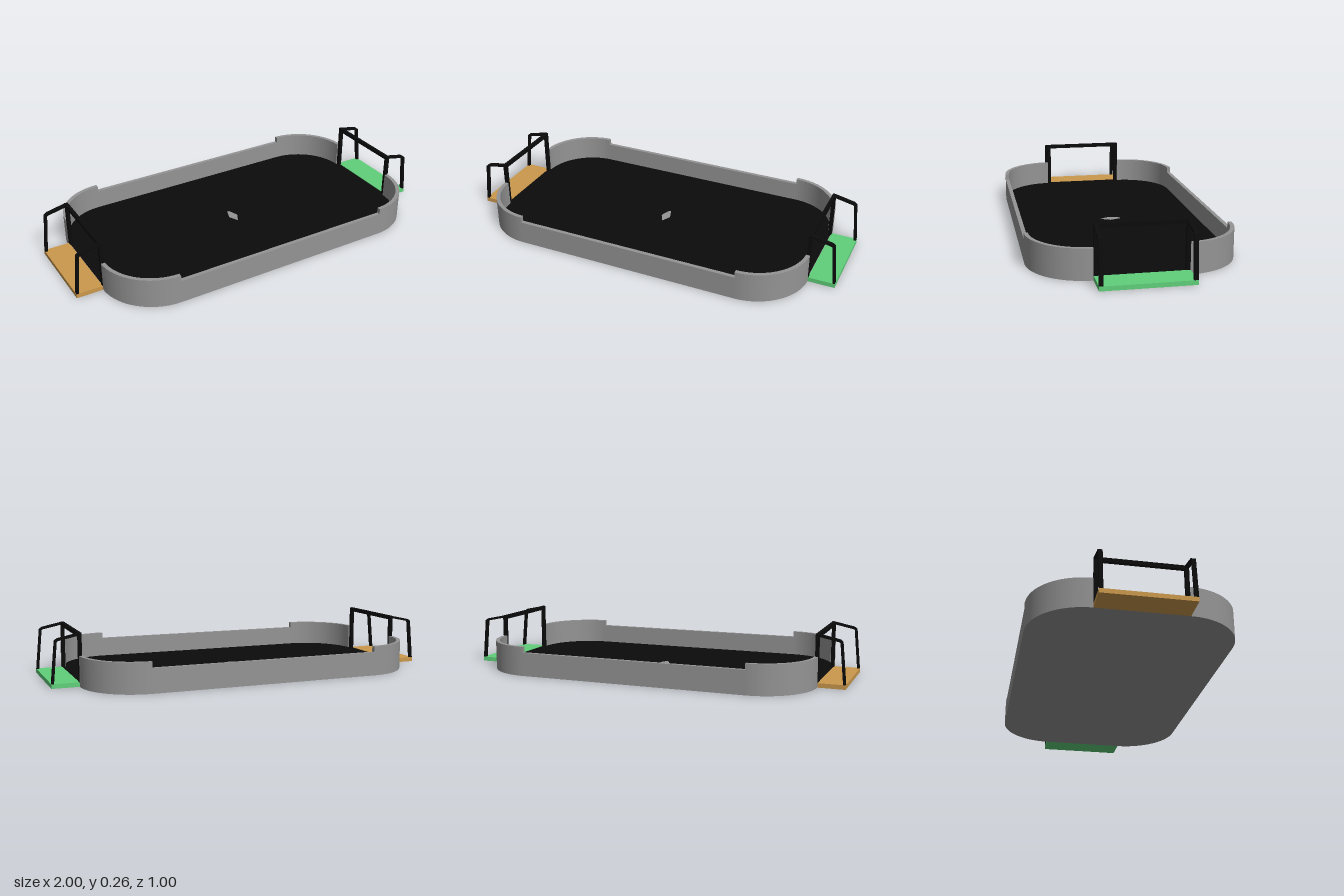
import * as THREE from 'three';

const HX = 0.865, HZ = 0.5, R = 0.28, WALL = 0.02;

const mat = (name, color) => {
  const m = new THREE.MeshStandardMaterial({ color });
  m.name = name;
  return m;
};

export function createModel() {
  const grey = mat('wall grey', 0x949494);
  const black = mat('pitch black', 0x0b0b0b);
  const green = mat('goal green', 0x60d07a);
  const orange = mat('goal orange', 0xcb994c);

  const model = new THREE.Group();
  model.name = 'arena';

  const add = (parent, name, geometry, material) => {
    const mesh = new THREE.Mesh(geometry, material);
    mesh.name = name;
    parent.add(mesh);
    return mesh;
  };
  const box = (parent, name, x0, x1, y0, y1, z0, z1, material) => {
    const g = new THREE.BoxGeometry(x1 - x0, y1 - y0, z1 - z0);
    g.translate((x0 + x1) / 2, (y0 + y1) / 2, (z0 + z1) / 2);
    return add(parent, name, g, material);
  };
  // Extrudes a plan outline upwards from y0 to y1
  const slab = (shape, y0, y1) => new THREE.ExtrudeGeometry(shape,
    { depth: y1 - y0, bevelEnabled: false, curveSegments: 14 })
    .rotateX(-Math.PI / 2).translate(0, y0, 0);

  // Rounded plan outline, moved inwards by an inset
  const outline = (inset) => {
    const s = new THREE.Shape(), r = R - inset, cx = HX - R, cz = HZ - R;
    s.absarc(cx, cz, r, 0, Math.PI / 2);
    s.absarc(-cx, cz, r, Math.PI / 2, Math.PI);
    s.absarc(-cx, -cz, r, Math.PI, Math.PI * 1.5);
    s.absarc(cx, -cz, r, Math.PI * 1.5, Math.PI * 2);
    s.closePath();
    return s;
  };
  add(model, 'base', slab(outline(0), 0, 0.018), grey);
  add(model, 'pitch', slab(outline(0.003), 0.018, 0.021), black);

  // Small diamond mark at the centre of the pitch
  const diamond = new THREE.Shape([[0, -0.035], [0.025, 0.015], [0.006, 0.07],
    [-0.006, 0.07], [-0.025, 0.015]].map(([x, y]) => new THREE.Vector2(x, y)));
  add(model, 'centreMark', slab(diamond, 0.021, 0.023), grey);

  // Low side walls and tall curved corner walls
  for (const sz of [-1, 1]) {
    const zs = [sz * HZ, sz * (HZ - WALL)].sort((a, b) => a - b);
    box(model, 'sideWall', -(HX - R), HX - R, 0, 0.12, zs[0], zs[1], grey);
  }
  for (let i = 0; i < 4; i++) {
    const a = i * Math.PI / 2, b = a + Math.PI / 2;
    const sx = i === 0 || i === 3 ? 1 : -1, sy = i < 2 ? 1 : -1;
    const cx = sx * (HX - R), cy = sy * (HZ - R);
    const s = new THREE.Shape();
    s.absarc(cx, cy, R, a, b, false);
    s.absarc(cx, cy, R - WALL, b, a, true);
    s.closePath();
    add(model, 'cornerWall', slab(s, 0, 0.15), grey);
  }

  // Goals: floor plate, front frame and bent side stays
  const makeGoal = (name, plate) => {
    const goal = new THREE.Group();
    goal.name = name;
    box(goal, 'goalFloor', HX, 1, 0, 0.022, -0.22, 0.22, plate);
    box(goal, 'crossbar', 0.85, 0.867, 0.24, 0.26, -0.22, 0.22, black);
    const stay = new THREE.Shape([[0.86, 0.26], [0.965, 0.238], [0.979, 0.228],
      [0.999, 0.022], [0.987, 0.022], [0.968, 0.223], [0.961, 0.227], [0.86, 0.248]]
      .map(([x, y]) => new THREE.Vector2(x, y)));
    for (const z of [-0.22, 0.2]) {
      box(goal, 'post', 0.85, 0.867, 0.02, 0.24, z, z + 0.02, black);
      const g = new THREE.ExtrudeGeometry(stay, { depth: 0.02, bevelEnabled: false });
      add(goal, 'sideStay', g.translate(0, 0, z), black);
    }
    model.add(goal);
    return goal;
  };
  makeGoal('leftGoal', green);
  makeGoal('rightGoal', orange).rotation.y = Math.PI;

  return model;
}
